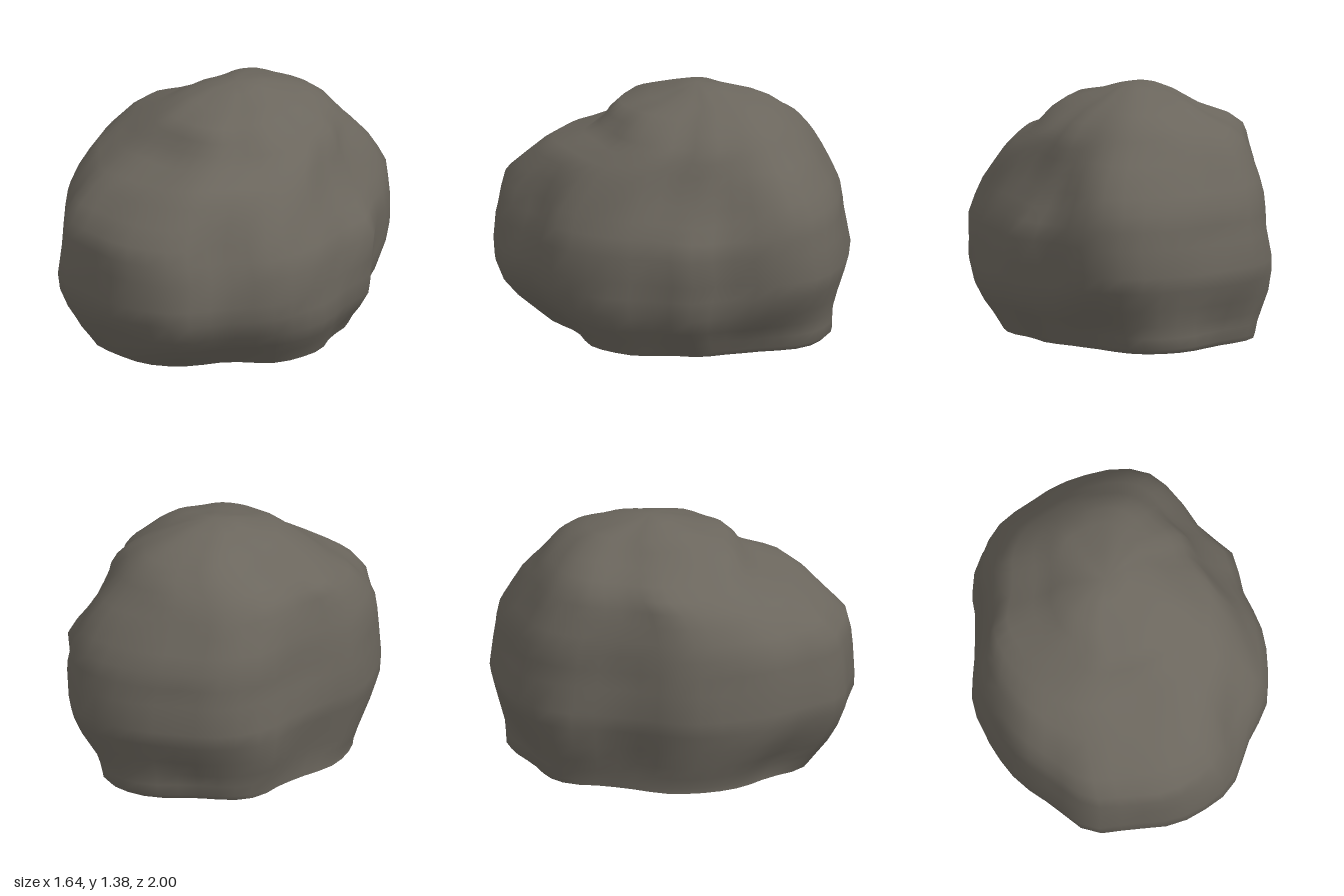
import * as THREE from 'three';

// Plan outline of the boulder at its widest, as [x, z]
const OUTLINE = [
  [0.07, -1], [0.35, -0.97], [0.5, -0.88], [0.62, -0.7], [0.7, -0.52], [0.8, -0.35],
  [0.79, -0.1], [0.815, 0.1], [0.79, 0.3], [0.72, 0.53], [0.54, 0.74], [0.37, 0.92],
  [0.2, 0.98], [0, 1], [-0.2, 0.97], [-0.44, 0.91], [-0.6, 0.7], [-0.78, 0.4],
  [-0.82, 0], [-0.72, -0.25], [-0.65, -0.45], [-0.59, -0.65], [-0.4, -0.87], [-0.18, -0.94],
];

// Levels: height, x min, x max, z min, z max
const LEVELS = [
  [0, -0.7, 0.7, -0.88, 0.76], [0.03, -0.7, 0.715, -0.91, 0.79],
  [0.09, -0.715, 0.74, -0.91, 0.84], [0.16, -0.74, 0.775, -0.915, 0.89],
  [0.25, -0.765, 0.81, -0.945, 0.945],
  [0.36, -0.795, 0.815, -0.98, 0.995], [0.45, -0.81, 0.81, -1, 0.995],
  [0.6, -0.795, 0.815, -0.97, 0.98], [0.7, -0.785, 0.775, -0.955, 0.965],
  [0.79, -0.775, 0.735, -0.94, 0.945], [0.88, -0.755, 0.69, -0.885, 0.86],
  [0.97, -0.72, 0.645, -0.83, 0.77], [1.04, -0.69, 0.6, -0.785, 0.67],
  [1.1, -0.64, 0.56, -0.74, 0.5], [1.16, -0.56, 0.51, -0.695, 0.41],
  [1.22, -0.42, 0.44, -0.64, 0.365], [1.28, -0.32, 0.35, -0.57, 0.3],
  [1.32, -0.25, 0.25, -0.47, 0.14], [1.36, -0.14, 0.13, -0.29, 0],
];
const PEAK = [0, 1.385, -0.12];

// Hollows and swellings: centre, radius, push
const DENTS = [
  // Rounded corners of the foot
  [[0.55, 0, -0.68], 0.3, [-0.08, 0, 0.08]],
  [[0.68, 0, -0.28], 0.22, [-0.06, 0, 0.02]],
  [[-0.3, 0, -0.85], 0.2, [0, 0, 0.05]],
  [[0.5, 0, 0.55], 0.3, [-0.08, 0, -0.08]],
  [[0.32, 0, 0.68], 0.2, [-0.02, 0, -0.04]],
  [[-0.6, 0.08, 0.6], 0.18, [0.04, 0, -0.05]],
  // Flanks
  [[-0.6, 0.24, -0.65], 0.2, [-0.035, 0, -0.035]],
  [[0.75, 0.45, -0.5], 0.18, [-0.04, 0, 0]],
  [[0.5, 0.75, 0.68], 0.2, [-0.04, 0, -0.05]],
  [[-0.1, 0.6, 0.95], 0.25, [0, 0, 0.015]],
  // Shoulder at the back and the scoop beside it
  [[0.45, 0.9, -0.76], 0.22, [0.05, 0, -0.04]],
  [[0.64, 0.88, -0.28], 0.2, [-0.05, -0.03, 0]],
  // Front shelf
  [[-0.05, 1.12, 0.5], 0.15, [0, -0.03, -0.015]],
  [[-0.42, 0.97, 0.55], 0.2, [0, -0.05, -0.02]],
  [[0.3, 1.05, 0.5], 0.17, [0, 0.02, 0.02]],
];

const SEGMENTS = 48;

function weather(p) {
  const { x, y, z } = p;
  const keep = Math.min(1, y / 0.15); // the foot stays flat on the ground
  for (const [c, r, push] of DENTS) {
    const d2 = (x - c[0]) ** 2 + (y - c[1]) ** 2 + (z - c[2]) ** 2;
    const w = Math.exp(-d2 / (r * r));
    p.x += push[0] * w;
    p.y += push[1] * w * keep;
    p.z += push[2] * w;
  }
  // Gentle lumps along the outward direction
  const n = 0.007 * (Math.sin(7 * x + 5 * y + 1) * Math.cos(6 * z - 4 * y)
    + Math.sin(11 * z + 8 * y) * Math.cos(10 * x - 7 * y + 2));
  const out = new THREE.Vector3(x, y - 0.5, z).normalize();
  p.x += out.x * n;
  p.y += out.y * n * keep;
  p.z += out.z * n;
  return p;
}

function buildRings() {
  const plan = new THREE.CatmullRomCurve3(
    OUTLINE.map(([x, z]) => new THREE.Vector3(x, 0, z)), true, 'centripetal');
  const pts = plan.getSpacedPoints(SEGMENTS).slice(0, SEGMENTS);
  const { mapLinear } = THREE.MathUtils;
  return LEVELS.map(([y, x0, x1, z0, z1]) => pts.map(p => weather(new THREE.Vector3(
    mapLinear(p.x, -0.82, 0.815, x0, x1), y, mapLinear(p.z, -1, 1, z0, z1)))));
}

function makeGeometry(points, index) {
  const g = new THREE.BufferGeometry().setFromPoints(points);
  g.setIndex(index);
  g.computeVertexNormals();
  return g;
}

export function createModel() {
  const group = new THREE.Group();
  group.name = 'boulder';
  const stone = new THREE.MeshStandardMaterial({ color: 0x6b665d });
  stone.name = 'grey brown stone';
  const rings = buildRings();

  // Weathered body, lofted ring by ring and closed at the peak
  const points = rings.flat();
  const top = points.length;
  points.push(new THREE.Vector3(...PEAK));
  const index = [];
  for (let r = 0; r < rings.length; r++) {
    for (let i = 0; i < SEGMENTS; i++) {
      const j = (i + 1) % SEGMENTS;
      const a = r * SEGMENTS + i, b = r * SEGMENTS + j;
      if (r === rings.length - 1) index.push(a, top, b);
      else index.push(a, a + SEGMENTS, b, b, a + SEGMENTS, b + SEGMENTS);
    }
  }
  const body = new THREE.Mesh(makeGeometry(points, index), stone);
  body.name = 'rockBody';

  // Flat underside
  const fan = [];
  for (let i = 0; i < SEGMENTS; i++) fan.push(SEGMENTS, i, (i + 1) % SEGMENTS);
  const base = new THREE.Mesh(
    makeGeometry([...rings[0], new THREE.Vector3(0, 0, -0.06)], fan), stone);
  base.name = 'flatBase';

  group.add(body, base);
  return group;
}
